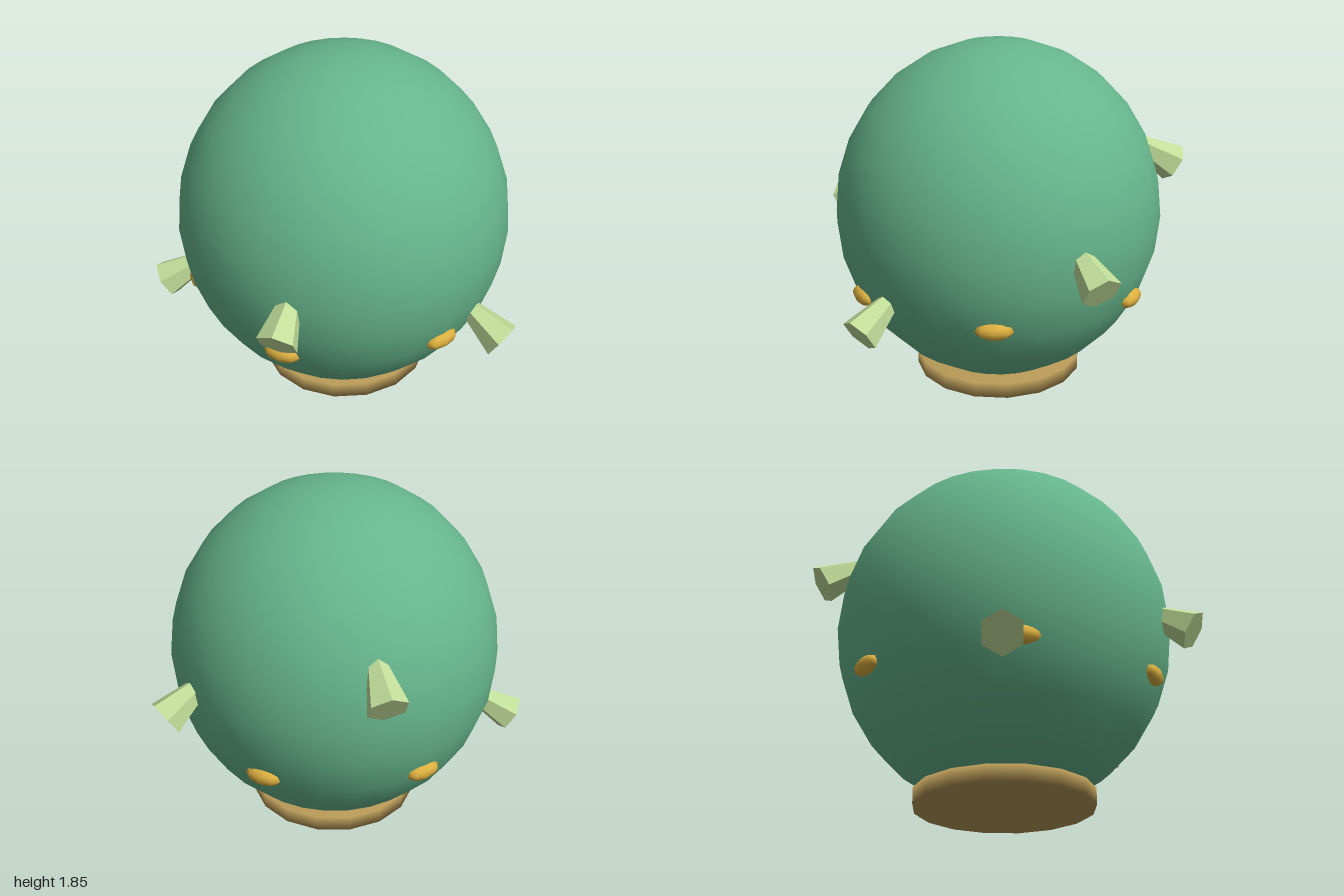
import * as THREE from 'three';

const flat = (name, color, flatShading = false) => {
  const m = new THREE.MeshStandardMaterial({ color, flatShading });
  m.name = name;
  return m;
};

export function createModel() {
  const model = new THREE.Group();
  model.name = 'spikedGlobe';
  const green = flat('green', 0x66b58c);
  const paleGreen = flat('paleGreen', 0xc0dc98, true);
  const gold = flat('gold', 0xdcb040);
  const tan = flat('tan', 0xb89a58);
  const cx = -0.01, cz = 0.08;

  const add = (name, geometry, material) => {
    const mesh = new THREE.Mesh(geometry, material);
    mesh.name = name;
    model.add(mesh);
    return mesh;
  };

  // Slightly tall round body
  const body = add('body', new THREE.SphereGeometry(1, 28, 14), green);
  body.scale.set(0.88, 0.922, 0.88);
  body.position.set(cx, 0.93, cz);

  // Foot disc with softly shaded rim
  const profile = [[0, 0], [0.462, 0], [0.462, 0.085], [0, 0.085]].map(p => new THREE.Vector2(...p));
  const foot = add('foot', new THREE.LatheGeometry(profile, 16), tan);
  foot.position.set(cx, 0, cz);
  foot.rotation.y = Math.PI / 8;

  // Hexagonal spouts, flaring outward and tilted down: heading from +z in degrees, radius and height of the tip
  const tilt = THREE.MathUtils.degToRad(31), length = 0.3;
  const spoutShape = new THREE.CylinderGeometry(0.105, 0.037, length, 6);
  spoutShape.translate(0, -length / 2, 0);
  const spouts = [[180, 1.025, 0.82], [107.2, 0.995, 0.505], [34.5, 1.01, 0.815], [-35.6, 0.985, 0.5], [-109.5, 0.98, 1.13]];
  for (const [degrees, radius, height] of spouts) {
    const a = THREE.MathUtils.degToRad(degrees);
    const out = new THREE.Vector3(Math.sin(a), 0, Math.cos(a));
    const axis = out.clone().multiplyScalar(Math.cos(tilt)).setY(-Math.sin(tilt));
    const up = out.clone().multiplyScalar(Math.sin(tilt)).setY(Math.cos(tilt));
    const side = new THREE.Vector3().crossVectors(axis, up);
    const spout = add('spout', spoutShape, paleGreen);
    spout.quaternion.setFromRotationMatrix(new THREE.Matrix4().makeBasis(side, axis, up));
    spout.position.set(cx + out.x * radius, height, cz + out.z * radius);
  }

  // Ring of six flattened studs
  const studShape = new THREE.SphereGeometry(1, 8, 6);
  studShape.scale(0.097, 0.046, 0.042);
  for (let i = 0; i < 6; i++) {
    const a = Math.PI / 6 + (i * Math.PI) / 3;
    const stud = add('stud', studShape, gold);
    stud.position.set(cx + Math.sin(a) * 0.81, 0.576, cz + Math.cos(a) * 0.81);
    stud.rotation.y = a;
  }
  return model;
}
